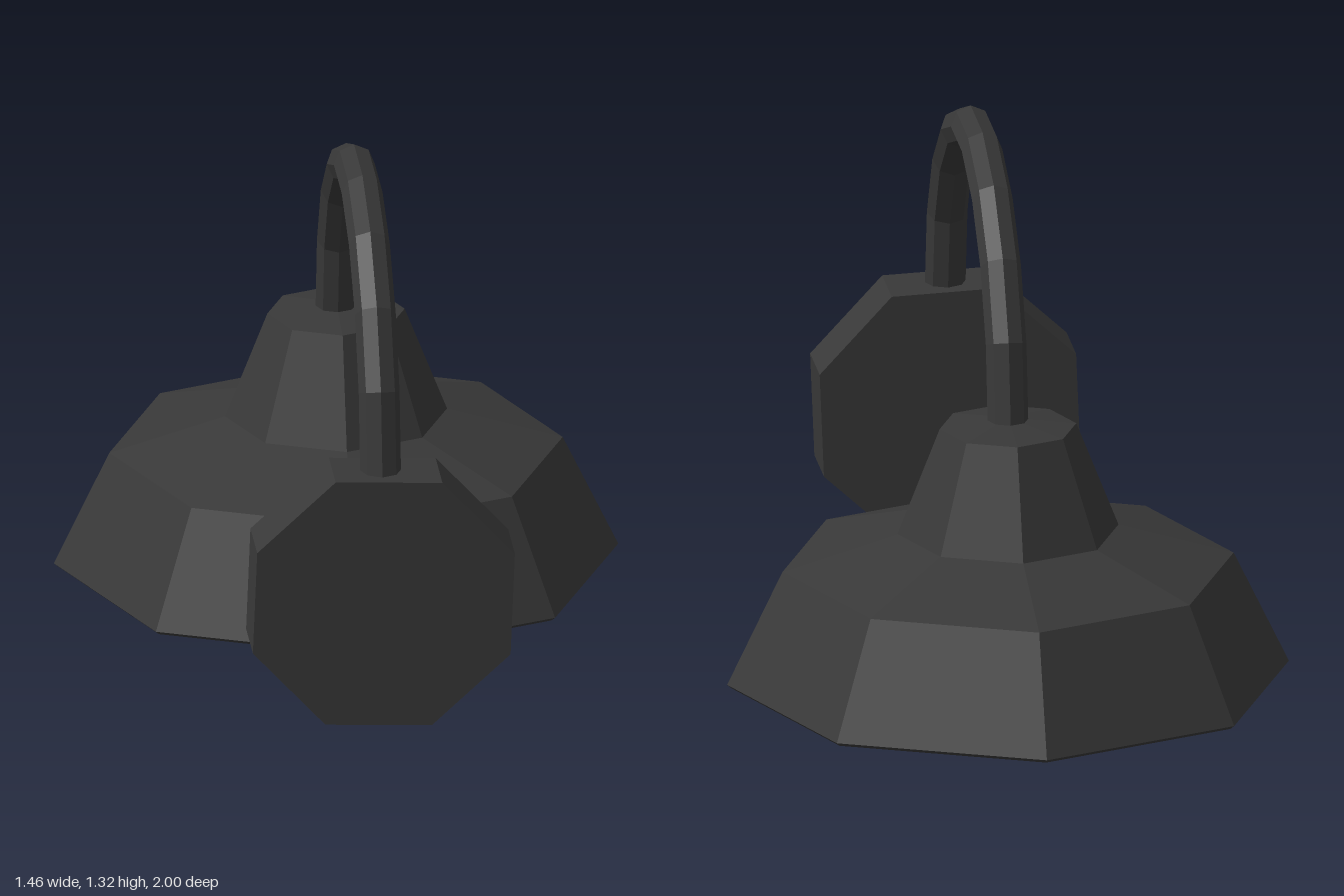
import * as THREE from 'three';

const SIDES = 8;
const SHADE_Z = -0.27;

export function createModel() {
  const group = new THREE.Group();
  const metal = new THREE.MeshStandardMaterial({ color: 0x383838, flatShading: true });

  const add = (name, geometry, x, y, z) => {
    const mesh = new THREE.Mesh(geometry, metal);
    mesh.name = name;
    mesh.position.set(x, y, z);
    group.add(mesh);
  };
  const lathe = (profile) =>
    new THREE.LatheGeometry(profile.map(([r, y]) => new THREE.Vector2(r, y)), SIDES);

  // Wall plate: an octagonal disc, slightly turned about its axis
  const plate = new THREE.CylinderGeometry(0.362, 0.362, 0.18, SIDES);
  plate.rotateX(Math.PI / 2).rotateZ(THREE.MathUtils.degToRad(20.2));
  add('wallPlate', plate, 0, 0.355, 0.91);

  // Gooseneck arm: half a ring from the plate over to the shade
  const arm = new THREE.TorusGeometry(0.59, 0.053, SIDES, 9, Math.PI);
  arm.rotateY(Math.PI / 2);
  add('gooseneckArm', arm, 0, 0.69, 0.32);

  // Shade: inner wall downwards, round the rim, then the outer wall upwards
  add('shade', lathe([
    [0, 0.66], [0.16, 0.65], [0.27, 0.375], [0.57, 0.29], [0.705, 0.01],
    [0.72, 0], [0.732, 0.01], [0.588, 0.31], [0.288, 0.4], [0.178, 0.68], [0, 0.705],
  ]), 0, 0, SHADE_Z);

  // Bulb with its neck running up into the shade
  add('bulb', lathe([
    [0, 0.035], [0.09, 0.055], [0.165, 0.13], [0.18, 0.22],
    [0.14, 0.33], [0.08, 0.43], [0.07, 0.66],
  ]), 0, 0, SHADE_Z);

  return group;
}
